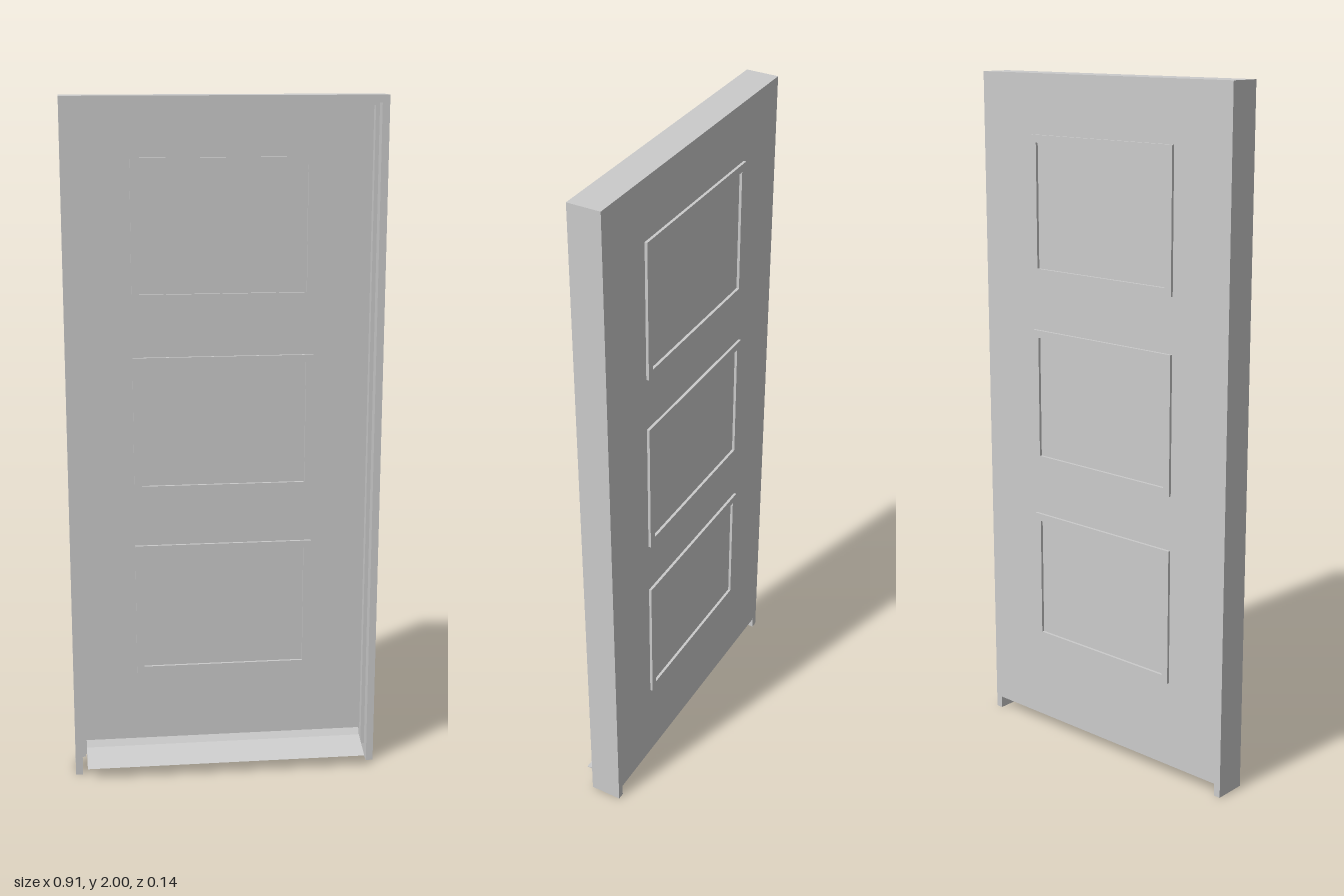
import * as THREE from 'three';

const mat = new THREE.MeshStandardMaterial({ color: 0xcccccc });

const BACK = -0.065, FRONT = 0.03;   // depth of the door frame
const LEAF_FRONT = -0.03;            // front face of the leaf
const OUT = 0.455, JAMB = 0.434, STOP = 0.423;

// box given by its minimum and maximum corners
function box(name, x0, x1, y0, y1, z0, z1) {
  const mesh = new THREE.Mesh(new THREE.BoxGeometry(x1 - x0, y1 - y0, z1 - z0), mat);
  mesh.name = name;
  mesh.position.set((x0 + x1) / 2, (y0 + y1) / 2, (z0 + z1) / 2);
  return mesh;
}

// rectangular outline, usable as a shape or a hole
function rect(path, w, h) {
  path.moveTo(-w / 2, -h / 2);
  path.lineTo(w / 2, -h / 2);
  path.lineTo(w / 2, h / 2);
  path.lineTo(-w / 2, h / 2);
  path.closePath();
  return path;
}

export function createModel() {
  const door = new THREE.Group();
  door.name = 'door';

  // outer frame: two jambs and a head, open at the bottom
  const outline = new THREE.Shape([
    [-OUT, 0], [-JAMB, 0], [-JAMB, 1.979], [JAMB, 1.979],
    [JAMB, 0], [OUT, 0], [OUT, 2], [-OUT, 2],
  ].map(([x, y]) => new THREE.Vector2(x, y)));
  const frame = new THREE.Mesh(
    new THREE.ExtrudeGeometry(outline, { depth: FRONT - BACK, bevelEnabled: false }), mat);
  frame.name = 'doorFrame';
  frame.position.z = BACK;
  door.add(frame);

  // thin stops lining the inside of the frame
  const stopFront = -0.006;
  door.add(
    box('rightStop', -JAMB, -STOP, 0.04, 1.979, BACK + 0.001, stopFront),
    box('leftStop', STOP, JAMB, 0.04, 1.979, BACK + 0.001, stopFront),
    box('headStop', -STOP, STOP, 1.97, 1.979, BACK + 0.001, stopFront),
  );

  // flat leaf, flush with the back of the frame
  door.add(box('leaf', -JAMB, JAMB, 0.037, 1.979, BACK, LEAF_FRONT));

  // sloping weather sill, profile in (z, y) extruded across the width
  const sillProfile = new THREE.Shape([
    [LEAF_FRONT, 0.037], [0.071, 0.036], [-0.018, 0.064], [LEAF_FRONT, 0.083],
  ].map(([z, y]) => new THREE.Vector2(-z, y)).reverse());
  const sillGeometry = new THREE.ExtrudeGeometry(sillProfile, { depth: 0.84, bevelEnabled: false });
  sillGeometry.rotateY(Math.PI / 2);
  const sill = new THREE.Mesh(sillGeometry, mat);
  sill.name = 'weatherSill';
  sill.position.x = -0.42;
  door.add(sill);

  // three raised panel mouldings on each face
  const w = 0.524, h = 0.404, border = 0.022, raise = 0.008;
  const ring = rect(new THREE.Shape(), w, h);
  ring.holes.push(rect(new THREE.Path(), w - 2 * border, h - 2 * border));
  const moulding = new THREE.ExtrudeGeometry(ring, { depth: raise, bevelEnabled: false });
  for (const y of [0.499, 1.064, 1.628]) {
    for (const [name, z] of [['frontMoulding', LEAF_FRONT], ['backMoulding', BACK - raise]]) {
      const mesh = new THREE.Mesh(moulding, mat);
      mesh.name = name;
      mesh.position.set(-0.001, y, z);
      door.add(mesh);
    }
  }
  return door;
}
